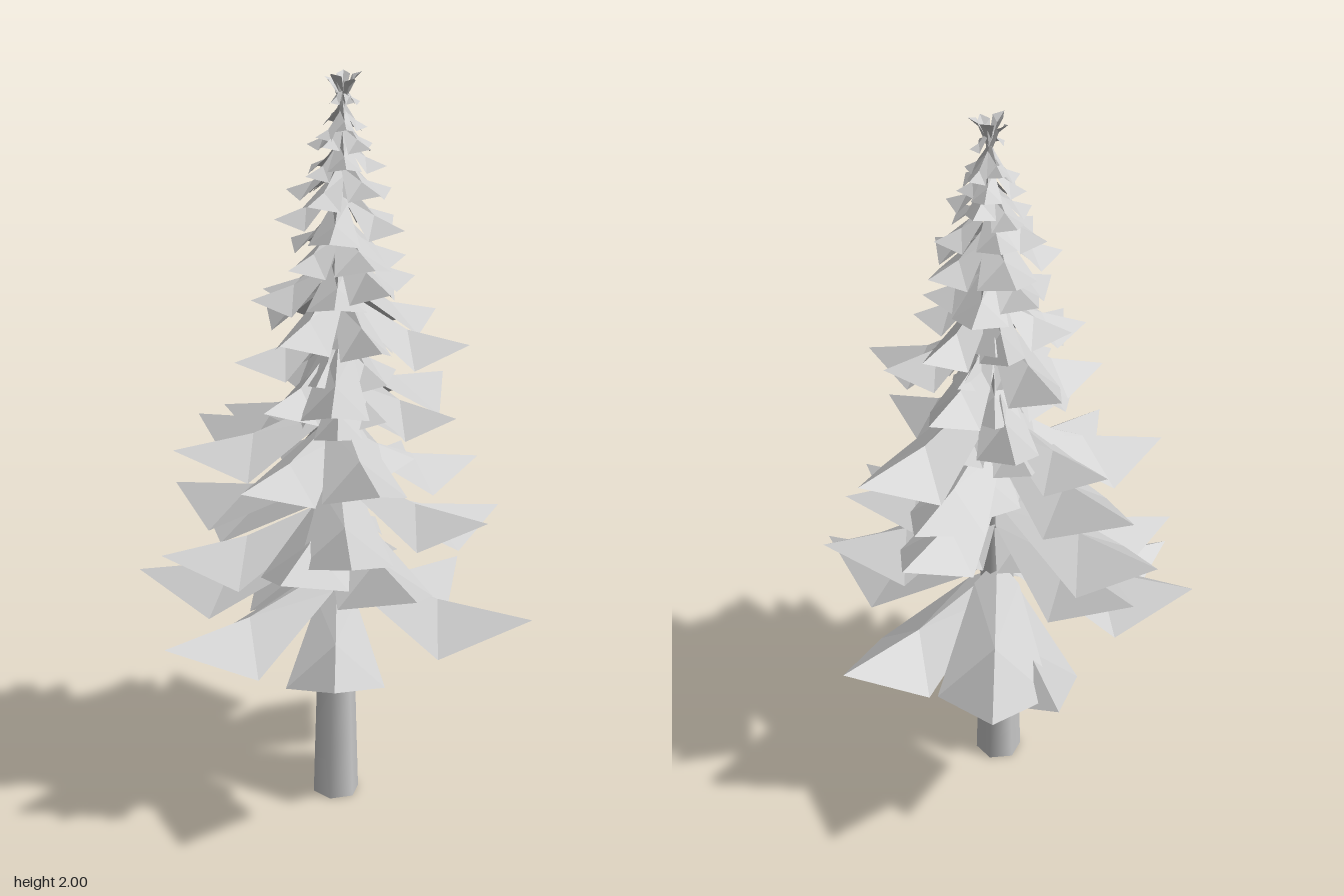
import * as THREE from 'three';

// The trunk leans slightly: x and z of its axis at a given height
const axisX = (y) => 0.035 * Math.max(0, (y - 0.3) / 1.7);
const axisZ = (y) => -0.01 * Math.max(0, (y - 0.3) / 1.7);

// Outer tips of the large branches: x, y, z
const branchTips = [
  [0.53, 0.55, -0.02], [0.25, 0.59, 0.485], [-0.34, 0.53, 0.33],
  [-0.53, 0.57, -0.1], [-0.36, 0.66, -0.4], [0.35, 0.58, -0.44], [0.15, 0.53, -0.46],
  [-0.17, 0.76, 0.45], [0.43, 0.8, 0.21], [-0.07, 0.79, -0.485],
  [-0.43, 0.77, -0.22], [-0.4, 0.8, 0.2],
  [0.41, 0.91, -0.14], [0.17, 0.86, 0.39], [-0.17, 0.85, -0.46], [-0.29, 0.85, 0.34],
  [-0.39, 1.0, 0.05], [-0.08, 1.03, -0.46], [0.39, 1.03, -0.17],
  [-0.38, 1.05, -0.22], [-0.2, 1.02, 0.35], [0.37, 0.95, 0.18],
  [0.46, 1.13, -0.03], [-0.1, 1.09, -0.33], [0.15, 1.13, 0.29],
  [-0.28, 1.18, 0.02], [0.15, 1.2, -0.27], [-0.23, 1.2, 0.21],
  [0.22, 1.31, 0.27], [0.29, 1.28, -0.1], [-0.25, 1.28, -0.12],
  [0.04, 1.36, -0.31], [-0.26, 1.36, 0.06], [0.3, 1.36, 0.08], [-0.08, 1.34, 0.24],
  [0.27, 1.43, -0.05], [-0.18, 1.43, -0.13], [-0.04, 1.48, 0.23], [0.12, 1.44, -0.2],
];

// Filler and upper tiers: tip height, reach, branch count, turn in degrees, rise
const tiers = [
  [0.75, 0.2, 4, 80, 0.13], [0.97, 0.2, 5, 35, 0.17], [1.1, 0.19, 5, 70, 0.19],
  [1.22, 0.18, 5, 15, 0.17], [1.33, 0.17, 5, 50, 0.15],
  [1.46, 0.2, 4, 45, 0.13], [1.54, 0.2, 5, 40, 0.12], [1.62, 0.2, 5, 75, 0.12],
  [1.69, 0.15, 5, 15, 0.1], [1.76, 0.12, 5, 50, 0.09], [1.81, 0.1, 5, 25, 0.08],
  [1.86, 0.075, 5, 60, 0.07], [1.91, 0.05, 4, 10, 0.05],
];

function createModel() {
  const tree = new THREE.Group();
  tree.name = 'coniferTree';
  const bark = new THREE.MeshStandardMaterial({ color: 0xcccccc });
  const needles = new THREE.MeshStandardMaterial({
    color: 0xcccccc, flatShading: true, side: THREE.DoubleSide,
  });

  // Tapered six-sided trunk, moved sideways to follow the leaning axis
  const trunkGeo = new THREE.CylinderGeometry(0.008, 0.065, 1.93, 6, 12);
  trunkGeo.translate(0, 0.965, 0);
  const p = trunkGeo.attributes.position;
  for (let i = 0; i < p.count; i++) {
    const y = p.getY(i);
    p.setX(i, p.getX(i) + axisX(y));
    p.setZ(i, p.getZ(i) + axisZ(y));
  }
  const trunk = new THREE.Mesh(trunkGeo, bark);
  trunk.name = 'trunk';
  tree.add(trunk);

  let seed = 7;
  const rand = () => (seed = (seed * 16807) % 2147483647) / 2147483647;

  // Folded kite-shaped branch: a ridge from trunk to tip, drooping side corners
  function addBranch(tip, rise, spread, droop) {
    const base = new THREE.Vector3(axisX(tip.y), tip.y + rise, axisZ(tip.y));
    const out = new THREE.Vector3(tip.x - base.x, 0, tip.z - base.z);
    const reach = out.length();
    out.normalize();
    const side = new THREE.Vector3(-out.z, 0, out.x);
    const at = (along, across, y) => base.clone().setY(y)
      .addScaledVector(out, along * reach).addScaledVector(side, across * reach);
    const points = [
      at(0, 0, base.y),
      at(0.1, 0.11, base.y - rise * 0.4),
      at(0.1, -0.11, base.y - rise * 0.4),
      at(0.52, 0, tip.y + rise * 0.25),
      at(0.57 + rand() * 0.1, spread, tip.y - droop * reach),
      at(0.57 + rand() * 0.1, -spread, tip.y - droop * reach),
      tip,
    ];
    const geo = new THREE.BufferGeometry().setFromPoints(points);
    geo.setIndex([0, 1, 3, 1, 4, 3, 3, 4, 6, 0, 3, 2, 2, 3, 5, 3, 6, 5]);
    const flat = geo.toNonIndexed();
    flat.computeVertexNormals();
    const branch = new THREE.Mesh(flat, needles);
    branch.name = 'branch';
    tree.add(branch);
  }

  // Large branches, steeper towards the top
  for (const t of branchTips) {
    addBranch(new THREE.Vector3(...t), t[1] > 1.1 ? 0.14 : 0.11, 0.27, 0.15);
  }

  // Shorter branches filling the core and forming the upper cone
  for (const [y, reach, count, turn, rise] of tiers) {
    for (let i = 0; i < count; i++) {
      const a = THREE.MathUtils.degToRad(turn) + (i + (rand() - 0.5) * 0.3) * Math.PI * 2 / count;
      const r = reach * (0.84 + rand() * 0.2);
      const tipY = y + (rand() - 0.5) * 0.04;
      addBranch(
        new THREE.Vector3(axisX(y) + r * Math.cos(a), tipY, axisZ(y) + r * Math.sin(a)),
        rise, 0.38, 0.12,
      );
    }
  }

  // Crown sprigs flaring upwards at the very top
  for (let i = 0; i < 5; i++) {
    const a = i * Math.PI * 0.4 + 0.5;
    addBranch(
      new THREE.Vector3(axisX(2) + 0.05 * Math.cos(a), 2 - (i % 2) * 0.012, axisZ(2) + 0.05 * Math.sin(a)),
      -0.09, 0.35, 0.15,
    );
  }
  return tree;
}

export { createModel };
